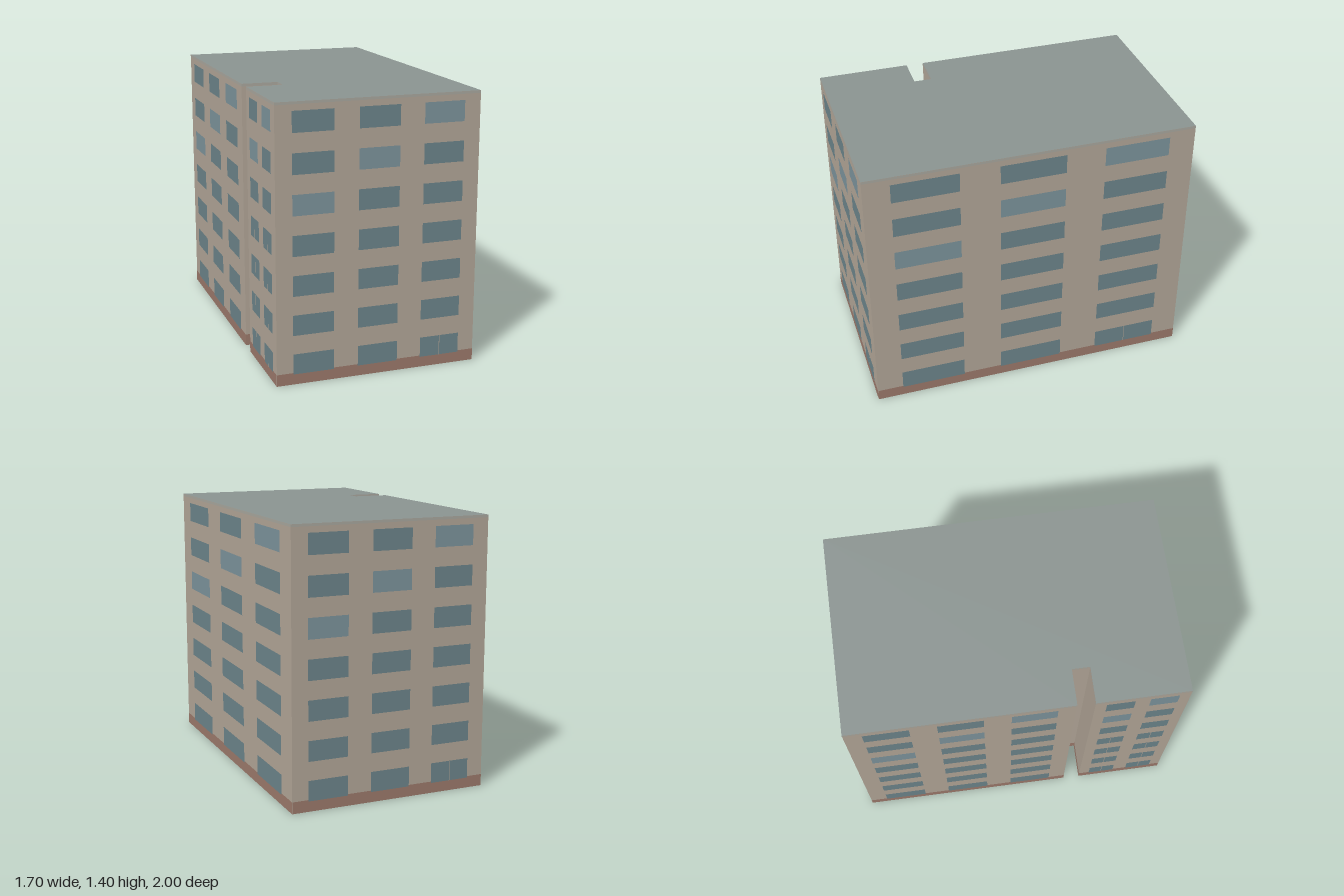
import * as THREE from 'three';

const HEIGHT = 1.4, FLOORS = 7, PITCH = 0.2;

// Footprint corners as [x, z]; each wall runs left to right seen from outside
const CORNERS = [
  [-0.09, 1], [0.848, 0.53], [0.09, -1], [-0.848, -0.53],
  [-0.341, 0.492], [-0.172, 0.41], [-0.132, 0.492], [-0.302, 0.574],
];
// Window columns per wall; the recess walls stay plain
const COLUMNS = [3, 3, 3, 3, 0, 0, 0, 2];

const paint = (color, side = THREE.FrontSide) =>
  new THREE.MeshStandardMaterial({ color, side });

export function createModel() {
  const model = new THREE.Group();
  model.name = 'apartmentBlock';
  const wallMat = paint(0xb0a496, THREE.DoubleSide);
  const roofMat = paint(0x8a9390, THREE.DoubleSide);
  const baseMat = paint(0x9a786a);
  const trimMat = paint(0xa7a59c);
  const glassMat = paint(0x6b8389);
  const paleGlassMat = paint(0x7b929a);

  CORNERS.forEach(([x0, z0], i) => {
    const [x1, z1] = CORNERS[(i + 1) % CORNERS.length];
    const length = Math.hypot(x1 - x0, z1 - z0);

    // Side group: local x runs along the wall, +z points outwards
    const side = new THREE.Group();
    side.name = `side${i + 1}`;
    side.position.set(x0, 0, z0);
    side.rotation.y = Math.atan2(z0 - z1, x1 - x0);
    model.add(side);

    const panel = (name, u0, u1, y0, y1, out, material) => {
      const mesh = new THREE.Mesh(new THREE.PlaneGeometry((u1 - u0) * length, y1 - y0), material);
      mesh.position.set((u0 + u1) / 2 * length, (y0 + y1) / 2, out);
      mesh.name = name;
      side.add(mesh);
    };

    panel('wall', 0, 1, 0, HEIGHT, 0, wallMat);
    panel('baseBand', 0, 1, 0, 0.06, 0.001, baseMat);
    panel('roofTrim', 0, 1, HEIGHT - 0.013, HEIGHT, 0.001, trimMat);

    // Grid of windows with a diagonal of paler panes
    const n = COLUMNS[i];
    const width = 0.6 / n, margin = 0.24 / n;
    const step = n > 1 ? (1 - 2 * margin - width) / (n - 1) : 0;
    for (let row = 0; row < FLOORS; row++) {
      const y = 0.053 + (FLOORS - 1 - row) * PITCH;
      for (let col = 0; col < n; col++) {
        const u = margin + col * step;
        const pale = row + col === n - 1;
        panel('window', u, u + width, y, y + 0.104, 0.002, pale ? paleGlassMat : glassMat);

        // Hairline mullions on the narrow wing and the ground-floor end windows
        const split = n === 2 ? row > 2 : i < 3 && row === FLOORS - 1 && col === 2;
        if (split) {
          const mid = u + width / 2, half = 0.0015 / length;
          panel('mullion', mid - half, mid + half, y, y + 0.104, 0.003, wallMat);
        }
      }
    }
  });

  // Flat roof following the footprint
  const outline = new THREE.Shape(CORNERS.map(([x, z]) => new THREE.Vector2(x, -z)));
  const roof = new THREE.Mesh(new THREE.ShapeGeometry(outline), roofMat);
  roof.rotation.x = -Math.PI / 2;
  roof.position.y = HEIGHT;
  roof.name = 'roof';
  model.add(roof);

  return model;
}
